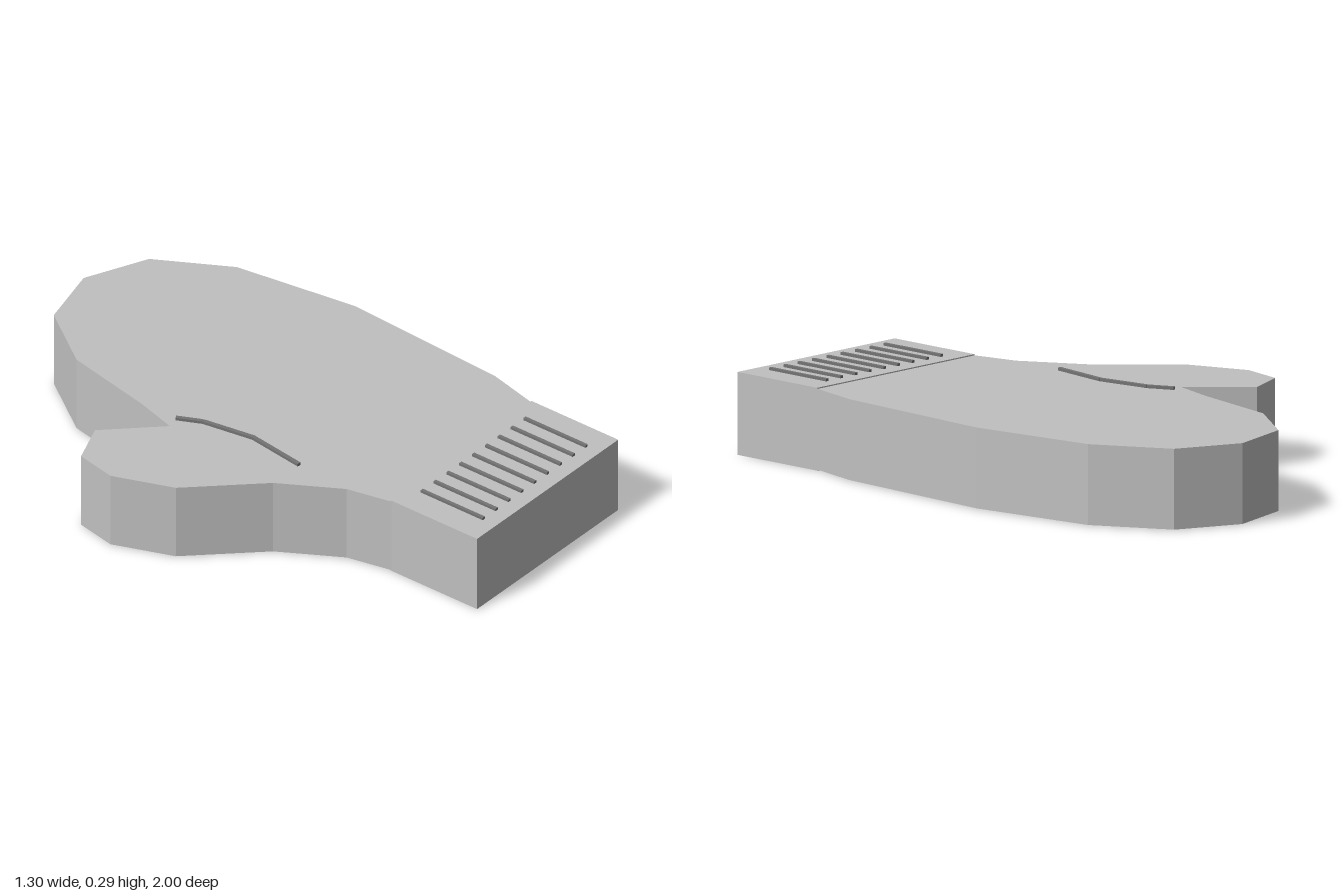
import * as THREE from 'three';

const wool = new THREE.MeshStandardMaterial({ color: 0xc0c0c0 });
wool.name = 'light grey wool';
const stitch = new THREE.MeshStandardMaterial({ color: 0x747474 });
stitch.name = 'dark grey stitching';

function box(name, material, size, position) {
  const mesh = new THREE.Mesh(new THREE.BoxGeometry(...size), material);
  mesh.name = name;
  mesh.position.set(...position);
  return mesh;
}

export function createModel() {
  const model = new THREE.Group();
  model.name = 'mitten';

  // Hand and thumb: one outline of x, z corners, extruded upwards
  const outline = [
    [-0.185, 0.635], [-0.22, 0.47], [-0.345, 0.255], [-0.57, 0.02], [-0.65, -0.195],
    [-0.62, -0.345], [-0.47, -0.405], [-0.295, -0.225], [-0.25, -0.38], [-0.18, -0.715],
    [-0.02, -0.94], [0.215, -1], [0.44, -0.9], [0.585, -0.64], [0.65, -0.185],
    [0.615, 0.44], [0.57, 0.625], [0.57, 0.635],
  ];
  const shape = new THREE.Shape(outline.map(([x, z]) => new THREE.Vector2(x, -z)));
  const handGeometry = new THREE.ExtrudeGeometry(shape, { depth: 0.276, bevelEnabled: false });
  handGeometry.rotateX(-Math.PI / 2).translate(0, 0.003, 0);
  const hand = new THREE.Mesh(handGeometry, wool);
  hand.name = 'handAndThumb';
  model.add(hand);

  // Cuff, slightly thicker than the hand
  model.add(box('cuff', wool, [0.756, 0.283, 0.37], [0.193, 0.1415, 0.815]));

  // Raised ribs on the cuff
  const ribs = new THREE.Group();
  ribs.name = 'cuffRibs';
  for (let i = 0; i < 9; i++) {
    ribs.add(box('rib', stitch, [0.012, 0.012, 0.265], [-0.08 + i * 0.0688, 0.286, 0.8125]));
  }
  model.add(ribs);

  // Raised seam at the base of the thumb
  const seam = new THREE.Group();
  seam.name = 'thumbSeam';
  const path = [[-0.25, -0.235], [-0.21, -0.15], [-0.18, 0.04], [-0.21, 0.26]];
  for (let i = 0; i < path.length - 1; i++) {
    const [x0, z0] = path[i], [x1, z1] = path[i + 1];
    const length = Math.hypot(x1 - x0, z1 - z0);
    const part = box('seamPart', stitch, [0.014, 0.012, length],
      [(x0 + x1) / 2, 0.283, (z0 + z1) / 2]);
    part.rotation.y = Math.atan2(x1 - x0, z1 - z0);
    seam.add(part);
  }
  model.add(seam);

  return model;
}
